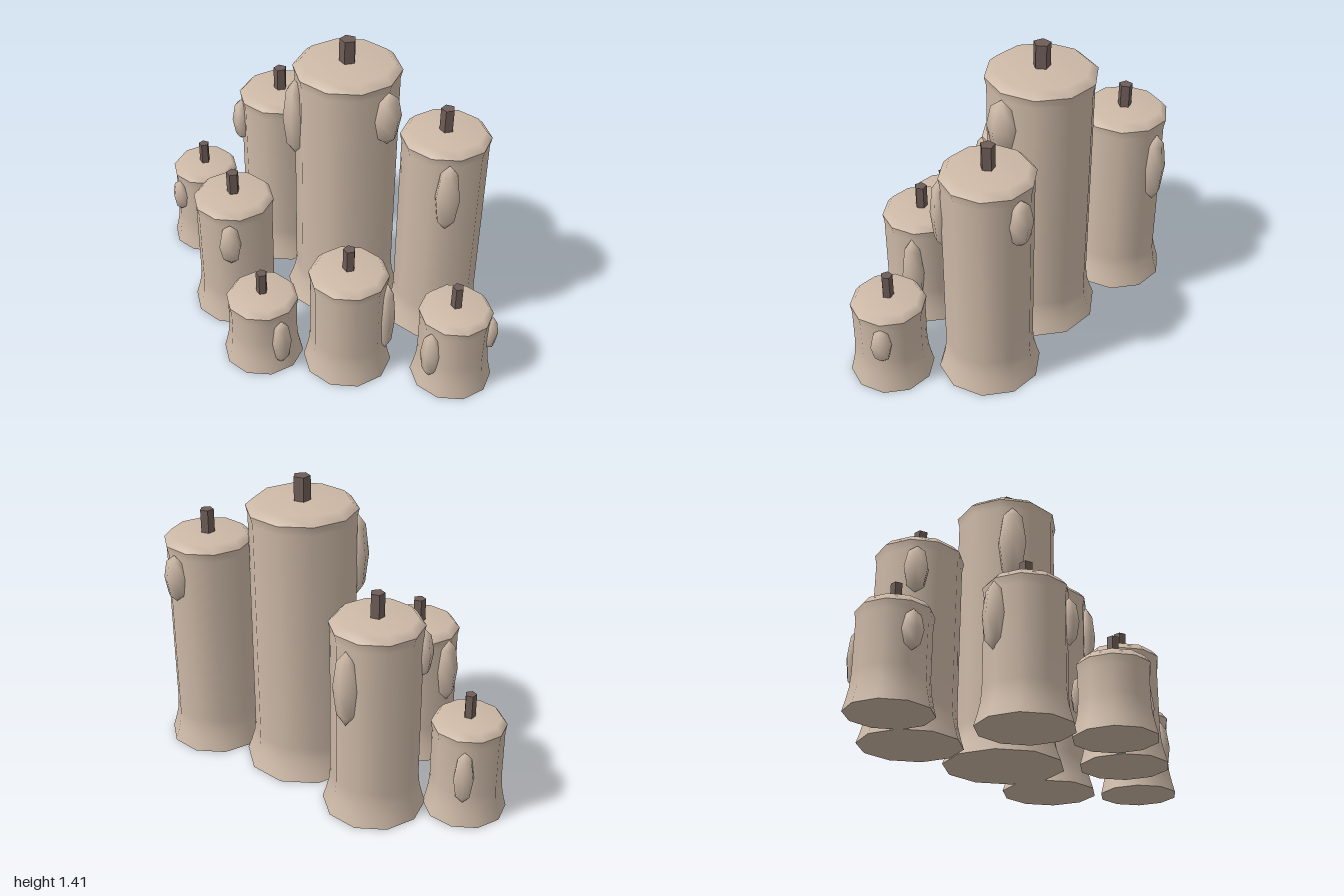
import * as THREE from 'three';

const SIDES = 10;

// x, z, base radius, height, drips: [angle from +x towards +z in degrees, centre height, half length]
const CANDLES = [
  ['tallCandle', 0.013, -0.215, 0.283, 1.305, [[130, 1.03, 0.2], [1, 1.1, 0.135]]],
  ['backRightCandle', -0.483, -0.297, 0.233, 0.935, [[135, 0.755, 0.115], [-90, 0.67, 0.18]]],
  ['backLeftCandle', 0.481, -0.352, 0.233, 1.07, [[49, 0.835, 0.175], [-86, 0.895, 0.115]]],
  ['outerRightCandle', -0.812, -0.053, 0.187, 0.465, [[103, 0.31, 0.09], [-120, 0.25, 0.13]]],
  ['outerLeftCandle', 0.809, -0.05, 0.19, 0.413, [[95, 0.215, 0.13], [-36, 0.26, 0.09]]],
  ['frontRightCandle', -0.317, 0.224, 0.217, 0.658, [[52, 0.48, 0.113], [184, 0.46, 0.16]]],
  ['frontLeftCandle', 0.38, 0.196, 0.208, 0.55, [[184, 0.4, 0.09], [-32, 0.28, 0.2]]],
  ['frontCandle', 0.04, 0.415, 0.19, 0.36, [[15, 0.165, 0.128], [-109, 0.22, 0.09]]],
];

// Faceted turned shape with a corner on the x axis
function turned(points, sides = SIDES) {
  return new THREE.LatheGeometry(points.map(([r, y]) => new THREE.Vector2(r, y)), sides, Math.PI / 2);
}

export function createModel() {
  const wax = new THREE.MeshStandardMaterial({ color: 0xcdb9a7 });
  wax.name = 'wax';
  const wickMat = new THREE.MeshStandardMaterial({ color: 0x6e5d57 });
  wickMat.name = 'wick';

  const model = new THREE.Group();
  model.name = 'candleCluster';

  for (const [name, x, z, R, H, drips] of CANDLES) {
    const candle = new THREE.Group();
    candle.name = name;
    candle.position.set(x, 0, z);
    model.add(candle);

    const add = (part, geometry, material) => {
      const mesh = new THREE.Mesh(geometry, material);
      mesh.name = part;
      candle.add(mesh);
      return mesh;
    };

    // Shaft with a flared foot and a slight lip under the rim
    add('shaft', turned([
      [R, 0], [R * 0.94, 0.045], [R * 0.88, 0.1], [R * 0.855, 0.16],
      [R * 0.855, H - 0.075], [R * 0.89, H - 0.033],
    ]), wax);
    // Bevelled top and flat underside
    add('top', turned([[R * 0.89, H - 0.033], [R * 0.755, H], [0, H]]), wax);
    add('underside', turned([[0, 0], [R, 0]]), wax);

    // Five-sided wick
    const wick = add('wick', new THREE.CylinderGeometry(R * 0.14, R * 0.14, 0.13, 5, 1, false, Math.PI / 2).toNonIndexed(), wickMat);
    wick.geometry.computeVertexNormals();
    wick.position.y = H + 0.045;

    // Wax drips half sunk into the shaft
    for (const [deg, y, half] of drips) {
      const a = THREE.MathUtils.degToRad(deg);
      const drip = add('drip', new THREE.SphereGeometry(1, 6, 4), wax);
      drip.scale.set(R * 0.2, half, R * 0.265);
      drip.position.set(Math.cos(a) * R * 0.86, y, Math.sin(a) * R * 0.86);
      drip.rotation.y = -a;
    }
  }
  return model;
}
